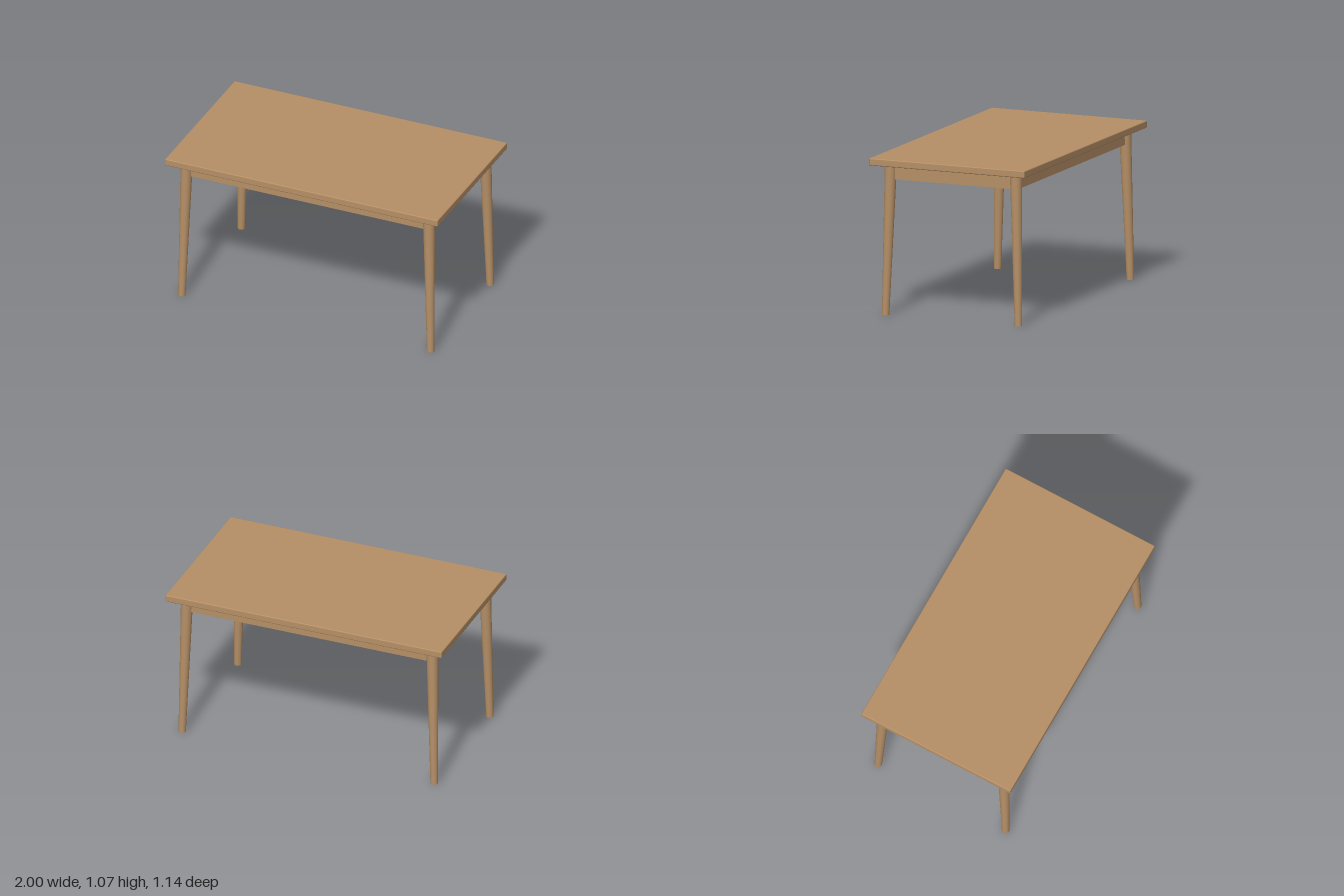
import * as THREE from 'three';
import { RoundedBoxGeometry } from 'three/addons/geometries/RoundedBoxGeometry.js';

export function createModel() {
  const table = new THREE.Group();
  table.name = 'table';
  const wood = new THREE.MeshStandardMaterial({ color: 0xb58f66 });
  wood.name = 'oak wood';

  const add = (name, geometry, x, y, z) => {
    const mesh = new THREE.Mesh(geometry, wood);
    mesh.name = name;
    mesh.position.set(x, y, z);
    table.add(mesh);
    return mesh;
  };

  // Table top with softly rounded edges
  const under = 1.025, height = 1.074;
  add('tableTop', new RoundedBoxGeometry(2, height - under, 1.14, 3, 0.007), 0, (under + height) / 2, 0);

  // Four tapered round legs, splayed outwards towards the floor
  const up = new THREE.Vector3(0, 1, 0);
  for (const sx of [-1, 1]) {
    for (const sz of [-1, 1]) {
      const foot = new THREE.Vector3(sx * 0.912, 0.001, sz * 0.487);
      const head = new THREE.Vector3(sx * 0.888, under + 0.003, sz * 0.459);
      const axis = head.clone().sub(foot);
      const mid = foot.clone().add(head).multiplyScalar(0.5);
      const name = (sz > 0 ? 'front' : 'back') + (sx > 0 ? 'Left' : 'Right') + 'Leg';
      const leg = add(name, new THREE.CylinderGeometry(0.041, 0.025, axis.length(), 32), mid.x, mid.y, mid.z);
      leg.quaternion.setFromUnitVectors(up, axis.normalize());
    }
  }

  // Apron rails joining the legs under the top
  const railHeight = 0.1, thick = 0.026, railY = under - railHeight / 2;
  for (const s of [-1, 1]) {
    add(s > 0 ? 'frontRail' : 'backRail', new THREE.BoxGeometry(1.77, railHeight, thick), 0, railY, s * 0.46);
    add(s > 0 ? 'leftRail' : 'rightRail', new THREE.BoxGeometry(thick, railHeight, 0.91), s * 0.889, railY, 0);
  }

  return table;
}
